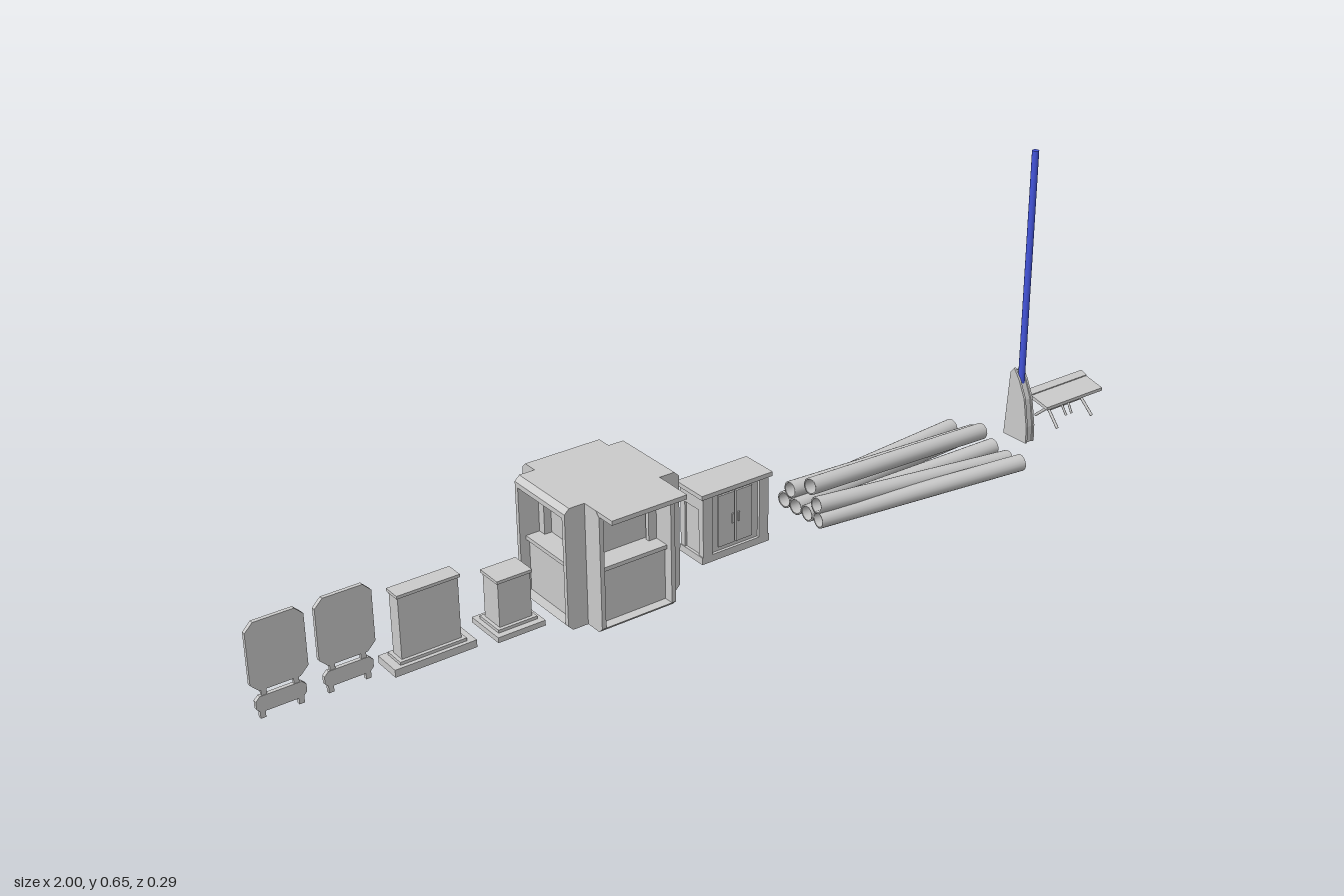
import * as THREE from 'three';

const grey = new THREE.MeshStandardMaterial({ color: 0xcccccc, flatShading: true });
const smooth = new THREE.MeshStandardMaterial({ color: 0xcccccc, side: THREE.DoubleSide });
const blue = new THREE.MeshStandardMaterial({ color: 0x4455dd });

function add(parent, name, geometry, material = grey) {
  const mesh = new THREE.Mesh(geometry, material);
  mesh.name = name;
  parent.add(mesh);
  return mesh;
}

function group(parent, name, x = 0, y = 0, z = 0) {
  const g = new THREE.Group();
  g.name = name;
  g.position.set(x, y, z);
  parent.add(g);
  return g;
}

// Box given by its minimum and maximum on each axis
function box(parent, name, x0, x1, y0, y1, z0, z1) {
  const mesh = add(parent, name, new THREE.BoxGeometry(x1 - x0, y1 - y0, z1 - z0));
  mesh.position.set((x0 + x1) / 2, (y0 + y1) / 2, (z0 + z1) / 2);
  return mesh;
}

const shapeOf = pts => new THREE.Shape(pts.map(p => new THREE.Vector2(...p)));

// Side profile of [z, y] points, extruded along x from x0 to x1
function sideExtrude(parent, name, pts, x0, x1) {
  const geo = new THREE.ExtrudeGeometry(shapeOf(pts), { depth: x1 - x0, bevelEnabled: false });
  geo.rotateY(-Math.PI / 2).translate(x1, 0, 0);
  return add(parent, name, geo);
}

// Upright plate with chamfered corners
function plate(parent, name, w, y0, y1, c, t) {
  const h = w / 2;
  const pts = [[-h + c, y0], [h - c, y0], [h, y0 + c], [h, y1 - c], [h - c, y1], [-h + c, y1], [-h, y1 - c], [-h, y0 + c]];
  const geo = new THREE.ExtrudeGeometry(shapeOf(pts), { depth: t, bevelEnabled: false });
  return add(parent, name, geo.translate(0, 0, -t / 2));
}

// Round bar between two points
function bar(parent, name, a, b, r, sides = 8, material = smooth) {
  const p = new THREE.Vector3(...a), q = new THREE.Vector3(...b);
  const mesh = add(parent, name, new THREE.CylinderGeometry(r, r, p.distanceTo(q), sides), material);
  mesh.position.copy(p).lerp(q, 0.5);
  mesh.quaternion.setFromUnitVectors(new THREE.Vector3(0, 1, 0), q.sub(p).normalize());
  return mesh;
}

function sign(parent, x) {
  const g = group(parent, 'sign', x, 0, -0.025);
  plate(g, 'signPanel', 0.108, 0.067, 0.2, 0.016, 0.008);
  plate(g, 'signFoot', 0.094, 0.025, 0.056, 0.008, 0.008);
  for (const s of [-1, 1]) {
    box(g, 'signNeck', s * 0.03 - 0.005, s * 0.03 + 0.005, 0.05, 0.07, -0.003, 0.003);
    box(g, 'signPeg', s * 0.036 - 0.005, s * 0.036 + 0.005, 0.013, 0.027, -0.004, 0.004);
  }
}

// Plain pedestal on a wider base with a thin cap
function pedestal(parent, x, z, w, d, h, baseW, baseD, baseTop) {
  const g = group(parent, 'pedestal', x, 0, z);
  box(g, 'pedestalBase', -baseW / 2, baseW / 2, 0.013, baseTop - 0.006, -baseD / 2, baseD / 2);
  box(g, 'pedestalPlinth', -w / 2 - 0.004, w / 2 + 0.004, baseTop - 0.007, baseTop, -d / 2 - 0.004, d / 2 + 0.004);
  box(g, 'pedestalBody', -w / 2 + 0.003, w / 2 - 0.003, baseTop, h - 0.005, -d / 2 + 0.003, d / 2 - 0.003);
  box(g, 'pedestalCap', -w / 2, w / 2, h - 0.006, h, -d / 2, d / 2);
}

// One bay of the booth, facing +z: jambs, lintel, sill and counter
function bay(parent, name, turn, w, out, open) {
  const g = group(parent, name);
  g.rotation.y = turn;
  const back = 0.055, c = 0.01, h = w / 2, jamb = 0.009, lo = 0.013, hi = 0.26;
  const side = [[back, lo], [out - c, lo], [out, lo + c], [out, hi - c], [out - c, hi], [back, hi]];
  if (!open) {
    sideExtrude(g, 'boothBackWall', side, -h, h);
    return;
  }
  sideExtrude(g, 'boothJamb', side, -h, -h + jamb);
  sideExtrude(g, 'boothJamb', side, h - jamb, h);
  sideExtrude(g, 'boothLintel', [[back, 0.24], [out, 0.24], ...side.slice(3)], -h + jamb, h - jamb);
  sideExtrude(g, 'boothSill', [[back, lo], [out - c, lo], [out, lo + c], [back, lo + c]], -h + jamb, h - jamb);
  box(g, 'boothCounter', -h + jamb, h - jamb, 0.02, 0.132, back, out - 0.02);
  box(g, 'boothCounterTop', -h + jamb, h - jamb, 0.13, 0.138, back, out - 0.013);
}

function booth(parent) {
  const g = group(parent, 'booth', -0.298, 0, -0.021);
  box(g, 'boothCore', -0.066, 0.066, 0.013, 0.26, -0.066, 0.066);
  // Roof and floor slabs close the corners between the bays
  for (const [y0, y1] of [[0.013, 0.022], [0.24, 0.26]]) box(g, 'boothSlab', -0.081, 0.081, y0, y1, -0.079, 0.079);
  bay(g, 'boothFront', 0, 0.163, 0.126, true);
  bay(g, 'boothLeft', Math.PI / 2, 0.162, 0.124, true);
  bay(g, 'boothRight', -Math.PI / 2, 0.162, 0.124, true);
  bay(g, 'boothBack', Math.PI, 0.163, 0.122, false);
  box(g, 'canopy', -0.081, 0.081, 0.251, 0.26, 0.1, 0.165);
}

function cabinet(parent) {
  const g = group(parent, 'cabinet', -0.008, 0, -0.022);
  box(g, 'cabinetBase', -0.08, 0.08, 0.013, 0.028, -0.036, 0.036);
  box(g, 'cabinetBody', -0.074, 0.074, 0.028, 0.156, -0.03, 0.03);
  box(g, 'cabinetTop', -0.084, 0.084, 0.154, 0.163, -0.041, 0.041);
  for (const s of [-1, 1]) {
    box(g, 'cabinetDoor', s * 0.021 - 0.019, s * 0.021 + 0.019, 0.037, 0.146, 0.029, 0.034);
    for (const z of [-0.029, 0.029])
      box(g, 'cabinetPost', s * 0.067 - 0.011, s * 0.067 + 0.011, 0.026, 0.155, z - 0.007, z + 0.007);
    box(g, 'cabinetSideRail', s * 0.074 - 0.004, s * 0.074 + 0.004, 0.125, 0.155, -0.03, 0.03);
    box(g, 'doorHandle', s * 0.007 - 0.002, s * 0.007 + 0.002, 0.08, 0.1, 0.033, 0.037);
  }
}

// Hollow pipes piled at one end and fanning out at the other
function pipes(parent) {
  const g = group(parent, 'pipePile');
  const outer = 0.0175, inner = 0.0145;
  const ends = [
    [0.032, -0.07, 0.03, -0.115], [0.032, -0.034, 0.019, -0.082],
    [0.032, 0.001, 0.034, 0.012], [0.032, 0.036, 0.03, 0.095],
    [0.062, -0.052, 0.042, -0.05], [0.062, 0.03, 0.024, 0.056],
    [0.095, 0.01, 0.055, -0.025],
  ];
  for (const [y0, z0, y1, z1] of ends) {
    const a = new THREE.Vector3(0.177, y0, z0), b = new THREE.Vector3(0.667, y1, z1);
    const l = a.distanceTo(b) / 2;
    const profile = [[inner, -l], [outer, -l], [outer, l], [inner, l], [inner, -l]].map(p => new THREE.Vector2(...p));
    const mat = smooth;
    const pipe = add(g, 'pipe', new THREE.LatheGeometry(profile, 20), mat);
    pipe.position.copy(a).lerp(b, 0.5);
    pipe.quaternion.setFromUnitVectors(new THREE.Vector3(0, 1, 0), b.sub(a).normalize());
  }
}

function beacon(parent) {
  const g = group(parent, 'poleStand', 0.772, 0, 0);
  const profile = [[-0.052, 0.013], [0.015, 0.013], [0.014, 0.05], [0.003, 0.112], [-0.014, 0.148], [-0.031, 0.172], [-0.041, 0.16]];
  for (const s of [-1, 1]) sideExtrude(g, 'standCheek', profile, s * 0.0095 - 0.0025, s * 0.0095 + 0.0025);
  sideExtrude(g, 'standCore', profile.map(([z, y]) => [-0.02 + (z + 0.02) * 0.92, 0.013 + (y - 0.013) * 0.96]), -0.0075, 0.0075);
  bar(g, 'pole', [0, 0.12, -0.02], [0, 0.65, -0.02], 0.0072, 16, blue);
}

function bench(parent) {
  const g = group(parent, 'bench', 0.915, 0, -0.03);
  // Tilted board with a raised back ledge
  sideExtrude(g, 'benchBoard', [[0.032, 0.064], [0.032, 0.071], [-0.03, 0.085], [-0.03, 0.077]], -0.083, 0.083);
  sideExtrude(g, 'benchLedge', [[-0.016, 0.076], [-0.016, 0.084], [-0.032, 0.09], [-0.032, 0.076]], -0.083, 0.083);
  // Crossed legs near both ends and a pair of middle braces
  for (const s of [-1, 1]) {
    bar(g, 'benchLeg', [s * 0.052, 0.015, 0.036], [s * 0.046, 0.078, -0.026], 0.0032);
    bar(g, 'benchLeg', [s * 0.042, 0.015, -0.04], [s * 0.038, 0.07, 0.022], 0.0032);
    bar(g, 'benchBrace', [s * 0.008, 0.026, 0.018], [s * 0.012, 0.077, -0.015], 0.0026);
  }
  bar(g, 'benchRail', [-0.048, 0.045, 0.003], [0.048, 0.045, 0.003], 0.0026);
}

export function createModel() {
  const model = new THREE.Group();
  model.name = 'furnitureSet';
  sign(model, -0.946);
  sign(model, -0.818);
  pedestal(model, -0.662, -0.025, 0.126, 0.036, 0.163, 0.165, 0.06, 0.034);
  pedestal(model, -0.493, -0.028, 0.074, 0.056, 0.126, 0.1, 0.09, 0.03);
  booth(model);
  cabinet(model);
  pipes(model);
  beacon(model);
  bench(model);
  return model;
}
